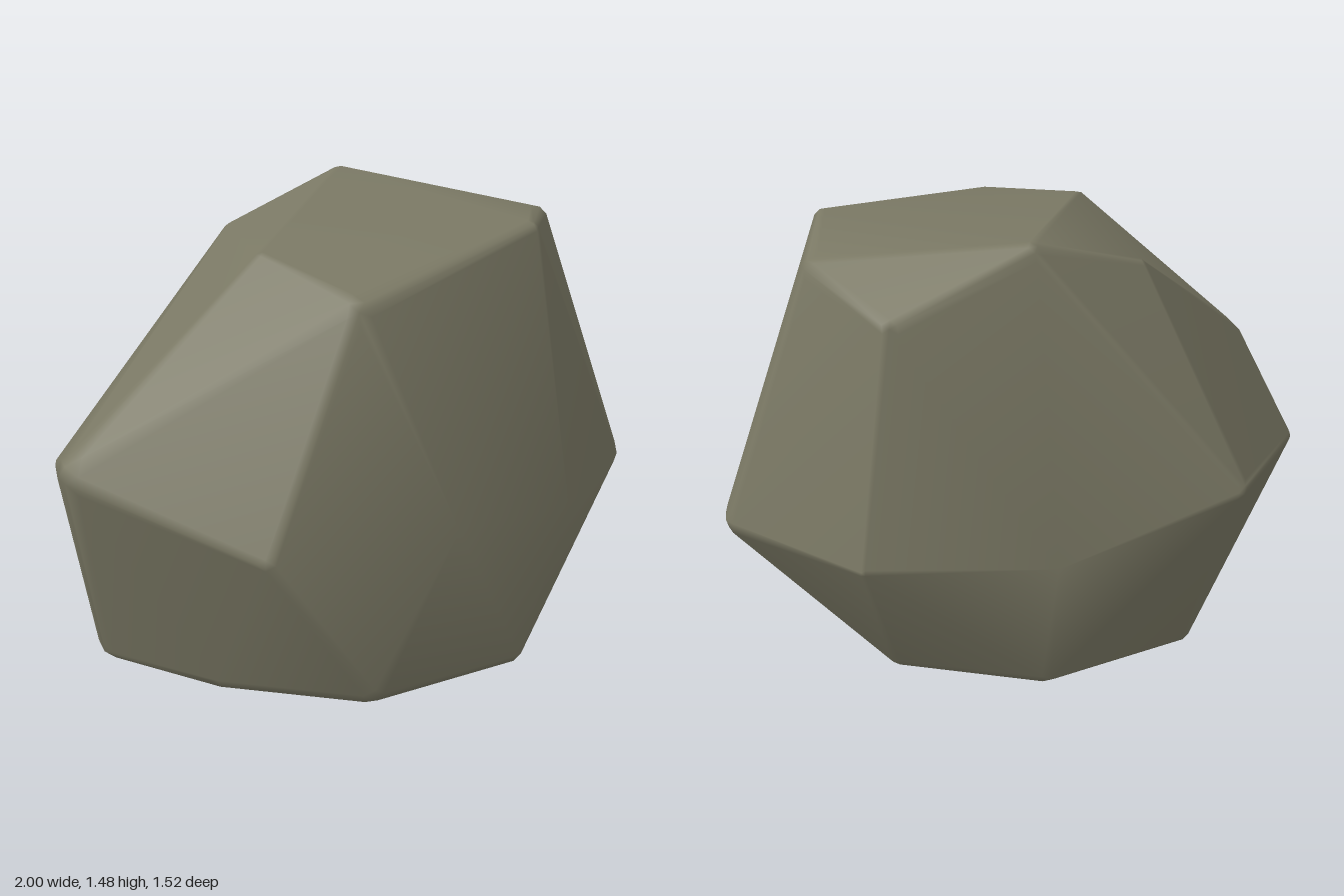
import * as THREE from 'three';
import { ConvexGeometry } from 'three/addons/geometries/ConvexGeometry.js';
import { mergeVertices } from 'three/addons/utils/BufferGeometryUtils.js';

// Corners of the boulder: x, y, z, rounding radius (0 for a soft, unrounded bend)
const CORNERS = [
  // crown
  [0.14, 1.467, -0.48, 0.05], [0.58, 1.425, 0.23, 0.04], [0.735, 1.37, -0.1, 0.06],
  [0.6, 1.28, -0.45, 0.05], [-0.13, 1.32, 0.56, 0.08], [-0.33, 1.39, 0.19, 0.04],
  [-0.29, 1.33, -0.37, 0.03],
  // girdle
  [0.998, 0.49, 0, 0.08], [0.71, 0.48, -0.49, 0.03], [0.15, 0.5, -0.73, 0],
  [-0.48, 0.66, -0.755, 0.05], [-0.93, 0.57, -0.26, 0.03], [-0.997, 0.74, 0.27, 0.1],
  [-0.46, 0.57, 0.725, 0.06], [0.15, 0.63, 0.755, 0], [0.64, 0.52, 0.45, 0],
  // foot
  [0.53, 0, -0.27, 0.05], [0.12, 0, -0.575, 0.06], [-0.42, 0, -0.5, 0.06],
  [-0.85, 0, 0.08, 0.07], [-0.55, 0, 0.4, 0.07], [-0.1, 0, 0.65, 0.07],
  [0.45, 0, 0.51, 0.06], [0.57, 0, 0.01, 0.05],
];

function boulderGeometry() {
  const middle = new THREE.Vector3(0, 0.7, 0);
  const points = [];
  // Put a small ball just inside every corner, then wrap them all in one hull
  for (const [x, y, z, r] of CORNERS) {
    const centre = new THREE.Vector3(x, y, z);
    if (r === 0) {
      points.push(centre);
      continue;
    }
    centre.addScaledVector(middle.clone().sub(centre).normalize(), r);
    if (y === 0) centre.y = r; // rest on the ground
    const ball = new THREE.IcosahedronGeometry(r, 1).getAttribute('position');
    for (let i = 0; i < ball.count; i++) {
      points.push(new THREE.Vector3().fromBufferAttribute(ball, i).add(centre));
    }
  }

  // Shared vertices give smooth shading across the rounded edges
  const hull = new ConvexGeometry(points);
  hull.deleteAttribute('normal');
  const geometry = mergeVertices(hull, 1e-4);
  geometry.computeVertexNormals();
  return geometry;
}

export function createModel() {
  const stone = new THREE.MeshStandardMaterial({ color: 0x7a7864 });
  stone.name = 'stone';
  const boulder = new THREE.Mesh(boulderGeometry(), stone);
  boulder.name = 'boulder';
  const group = new THREE.Group();
  group.name = 'rock';
  group.add(boulder);
  return group;
}
